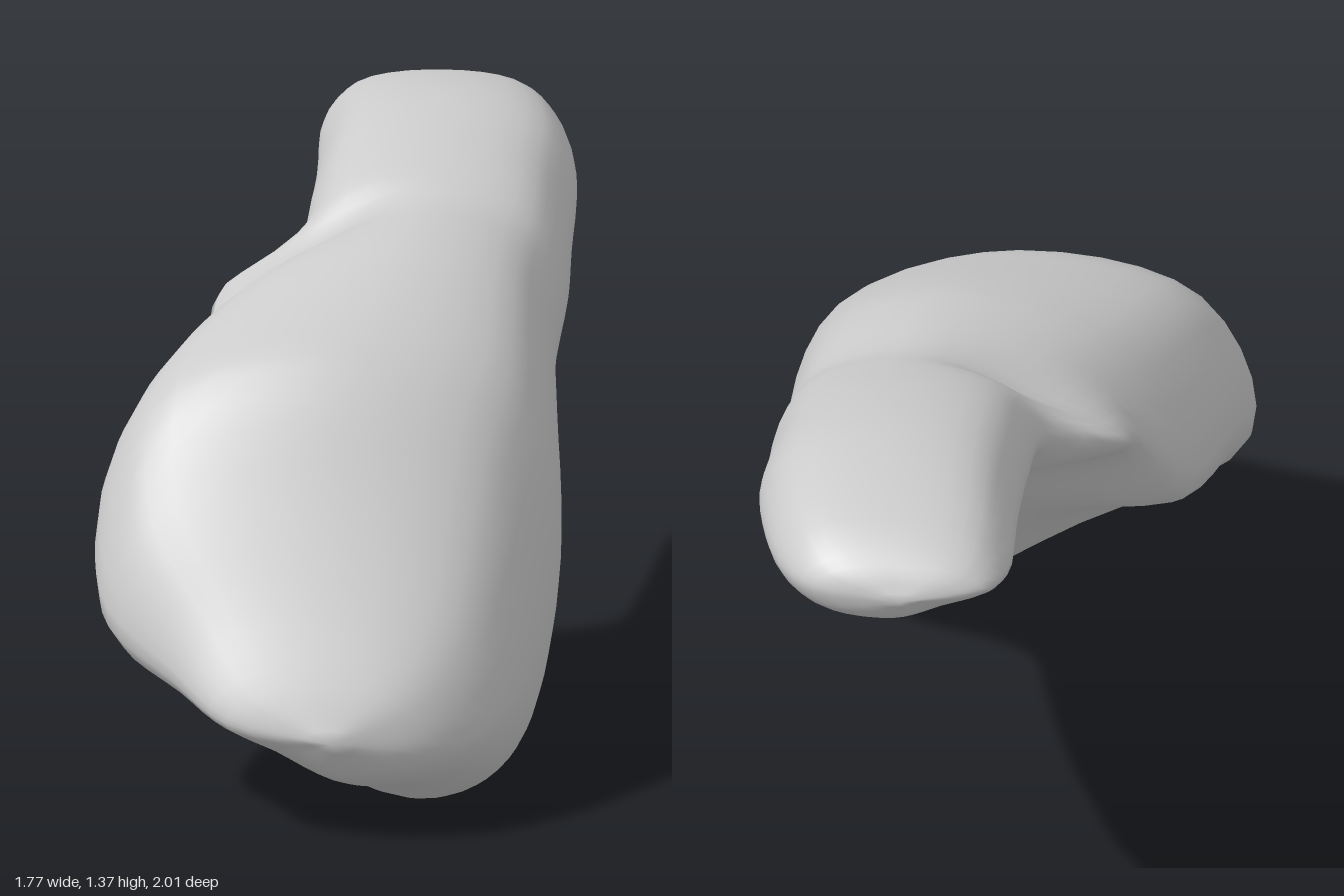
import * as THREE from 'three';
import { mergeVertices } from 'three/addons/utils/BufferGeometryUtils.js';

// Guide points along the diagonal s, from the raised tail to the low front end.
// Each row: s, left [u, y], top [u, y], right [u, y], bottom [u, y], upper left fullness.
const guides = [
  [-1.12, -.12, 1.22, .1, 1.28, .3, 1.21, .1, 1.13, .75],
  [-1.0, -.17, 1.19, .13, 1.34, .39, 1.2, .18, 1.08, .75],
  [-.7, -.17, 1.13, .14, 1.38, .46, 1.17, .26, .99, .77],
  [-.45, -.18, 1.1, .13, 1.35, .46, 1.08, .28, .89, .77],
  [-.27, -.21, 1.08, .12, 1.3, .46, 1.02, .28, .83, .72],
  [-.17, -.39, 1.02, .1, 1.27, .45, .98, .28, .79, .52],
  [0, -.42, .9, .08, 1.26, .44, .93, .26, .71, .66],
  [.15, -.53, .66, .04, 1.24, .45, .83, .26, .55, .73],
  [.4, -.62, .62, -.02, 1.15, .47, .6, .24, .2, .77],
  [.58, -.65, .54, -.1, 1.06, .44, .45, .22, .02, .78],
  [.78, -.62, .46, -.12, .8, .39, .33, .14, .03, .78],
  [.95, -.46, .38, -.07, .57, .31, .26, .05, .11, .77],
  [1.08, -.32, .31, -.05, .4, .17, .25, -.04, .17, .75],
];
const tailTip = [-1.17, .08, 1.21], frontTip = [1.15, -.06, .28];

const AROUND = 40, STEPS = 4;

// Turn diagonal coordinates into model coordinates.
const place = (s, u, y) => new THREE.Vector3((s + u) * Math.SQRT1_2, y, (s - u) * Math.SQRT1_2);

// Rounded corner between a side point and a top or bottom point.
const corner = (side, cap, fullness) => [
  cap[0] + (side[0] - cap[0]) * fullness,
  side[1] + (cap[1] - side[1]) * fullness,
];

// Smooth closed ring through one section; the lower left side is nearly flat.
function ring([s, ...g]) {
  const [left, top, right, bottom] = [0, 2, 4, 6].map(k => [g[k], g[k + 1]]);
  const outline = [
    left, corner(left, top, g[8]), top, corner(right, top, .74),
    right, corner(right, bottom, .74), bottom, corner(left, bottom, .53),
  ];
  const curve = new THREE.CatmullRomCurve3(outline.map(([u, y]) => place(s, u, y)), true, 'centripetal');
  return Array.from({ length: AROUND }, (_, j) => curve.getPoint(j / AROUND));
}

function loft() {
  const tip = p => Array(AROUND).fill(place(...p));
  const rings = [tip(tailTip), ...guides.map(ring), tip(frontTip)];
  const rows = (rings.length - 1) * STEPS;
  const columns = Array.from({ length: AROUND }, (_, j) =>
    new THREE.CatmullRomCurve3(rings.map(r => r[j]), false, 'centripetal'));
  const position = [], index = [];
  for (let i = 0; i <= rows; i++) {
    for (let j = 0; j < AROUND; j++) {
      position.push(...columns[j].getPoint(i / rows).toArray());
      if (i === rows) continue;
      const a = i * AROUND + j, b = i * AROUND + (j + 1) % AROUND;
      // The first and last rows are fans around the tips.
      if (i > 0) index.push(a, a + AROUND, b);
      if (i < rows - 1) index.push(b, a + AROUND, b + AROUND);
    }
  }
  const geometry = new THREE.BufferGeometry();
  geometry.setAttribute('position', new THREE.Float32BufferAttribute(position, 3));
  geometry.setIndex(index);
  // Weld the two tips so their shading is smooth.
  const welded = mergeVertices(geometry, 1e-4);
  welded.computeVertexNormals();
  return welded;
}

export function createModel() {
  const group = new THREE.Group();
  group.name = 'organ';
  const body = new THREE.Mesh(loft(), new THREE.MeshStandardMaterial({ color: 0xcccccc }));
  body.name = 'lobedBody';
  group.add(body);
  // Rest the lowest point on the ground.
  body.position.y = -new THREE.Box3().setFromObject(body).min.y;
  return group;
}
